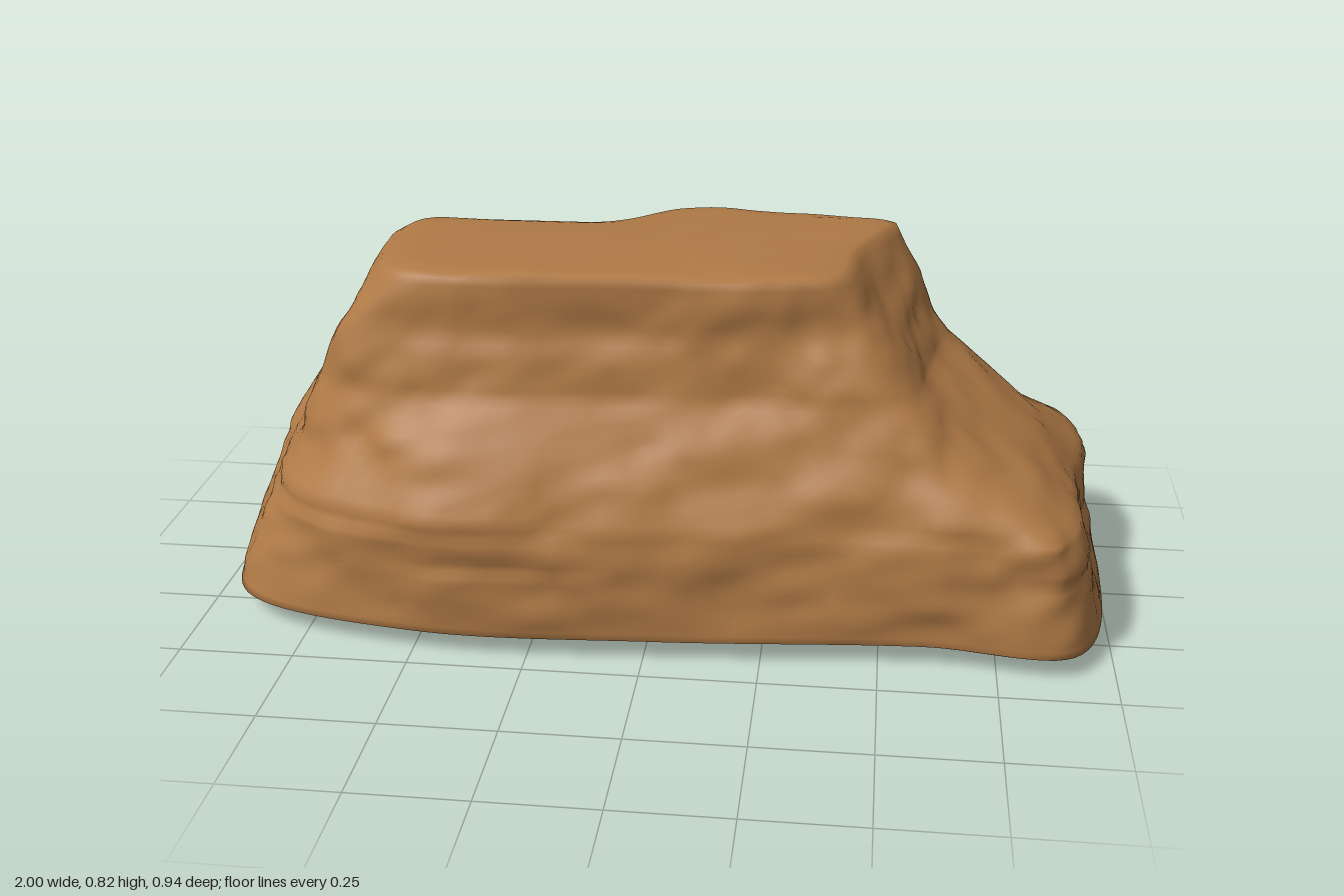
import * as THREE from 'three';

// Outlines of the rock at rising heights: 12 matching [x, z] points each,
// from the back-left corner along the left, front, right and back sides.
const LEVELS = [
  { y: 0.05, p: [-.985, -.17, -.975, .06, -.9, .32, -.5, .445, .03, .435, .6, .39, .91, .4, .995, .05, .94, -.29, .45, -.41, .13, -.465, -.4, -.39] },
  { y: 0.30, p: [-.89, -.19, -.89, .03, -.82, .28, -.5, .465, .03, .43, .6, .385, .87, .39, .925, .05, .905, -.365, .42, -.41, 0, -.46, -.25, -.45] },
  { y: 0.40, p: [-.83, -.18, -.82, .03, -.76, .26, -.47, .42, .03, .39, .48, .35, .71, .31, .82, .04, .78, -.28, .42, -.4, .02, -.45, -.23, -.43] },
  { y: 0.55, p: [-.74, -.16, -.75, .03, -.7, .25, -.45, .33, .03, .31, .36, .29, .52, .27, .6, 0, .62, -.25, .4, -.33, .1, -.36, -.28, -.31] },
  { y: 0.68, p: [-.66, -.13, -.67, .05, -.65, .255, -.4, .31, 0, .28, .3, .27, .46, .23, .52, -.02, .55, -.24, .3, -.28, .05, -.31, -.22, -.2] },
  { y: 0.80, p: [-.58, -.1, -.61, .05, -.55, .26, -.4, .3, -.05, .28, .25, .26, .38, .22, .43, -.02, .5, -.23, .25, -.25, .03, -.29, -.15, -.14] },
];
const SEGMENTS = 140;
const ROWS = 48;

// Smooth seeded noise in -1..1
function hash(x, y, z) {
  const s = Math.sin(x * 127.1 + y * 311.7 + z * 74.7 + 5.3) * 43758.5453;
  return s - Math.floor(s);
}
function noise(x, y, z) {
  const i = [x, y, z].map(Math.floor);
  const [u, v, w] = [x, y, z].map((a, k) => THREE.MathUtils.smoothstep(a - i[k], 0, 1));
  let sum = 0;
  for (let a = 0; a < 2; a++) for (let b = 0; b < 2; b++) for (let c = 0; c < 2; c++) {
    sum += (a ? u : 1 - u) * (b ? v : 1 - v) * (c ? w : 1 - w) * hash(i[0] + a, i[1] + b, i[2] + c);
  }
  return sum * 2 - 1;
}

// Closed outline sampled evenly by curve parameter
function sampleOutline(p) {
  const points = [];
  for (let i = 0; i < p.length; i += 2) points.push(new THREE.Vector3(p[i], 0, p[i + 1]));
  const curve = new THREE.CatmullRomCurve3(points, true, 'centripetal');
  return Array.from({ length: SEGMENTS }, (_, i) => curve.getPoint(i / SEGMENTS));
}

function ringAt(y, outlines) {
  let k = 0;
  while (k < LEVELS.length - 2 && y > LEVELS[k + 1].y) k++;
  const t = (y - LEVELS[k].y) / (LEVELS[k + 1].y - LEVELS[k].y);
  return outlines[k].map((v, i) => v.clone().lerp(outlines[k + 1][i], t).setY(y));
}

// Push the walls in and out: broad bumps, small chips and two broken cracks
function weather(ring, y) {
  const fade = THREE.MathUtils.smoothstep(y, 0.05, 0.14) * (1 - 0.6 * THREE.MathUtils.smoothstep(y, 0.7, 0.8));
  return ring.map((v, i) => {
    const a = ring[(i + SEGMENTS - 1) % SEGMENTS];
    const b = ring[(i + 1) % SEGMENTS];
    const out = new THREE.Vector3(b.z - a.z, 0, a.x - b.x).normalize();
    // keep the direction pointing away from the middle
    if (out.x * v.x + out.z * v.z < 0) out.negate();
    let d = 0.012 * noise(v.x * 5, y * 7, v.z * 5) + 0.012 * noise(v.x * 11, y * 13, v.z * 11)
      + 0.005 * noise(v.x * 22, y * 22, v.z * 22);
    for (const level of [0.2, 0.3]) {
      const offset = (y - level - 0.015 * noise(v.x * 2, level * 30, v.z * 2)) / 0.014;
      d -= 0.014 * Math.exp(-offset * offset) * Math.max(0, 0.2 + noise(v.x * 3, level * 50, v.z * 3));
    }
    return v.clone().addScaledVector(out, d * fade);
  });
}

function rockGeometry() {
  const outlines = LEVELS.map(l => sampleOutline(l.p));
  const base = outlines[0];
  const crown = weather(ringAt(0.8, outlines), 0.8);
  const scaled = (ring, s, y, cx, cz) => ring.map(v =>
    new THREE.Vector3(cx + (v.x - cx) * s, y, cz + (v.z - cz) * s));

  // shallow bulging underside
  const rings = [[0.02, 0.002], [0.35, 0.01], [0.65, 0.019], [0.88, 0.034], [0.985, 0.047]]
    .map(([s, y]) => scaled(base, s, y, 0, 0));
  // walls
  for (let r = 0; r <= ROWS; r++) {
    const y = 0.05 + 0.75 * r / ROWS;
    rings.push(weather(ringAt(y, outlines), y));
  }
  // nearly flat summit
  for (const [s, y] of [[0.965, 0.81], [0.85, 0.814], [0.6, 0.817], [0.3, 0.818], [0.02, 0.818]]) {
    rings.push(scaled(crown, s, y, -0.05, 0.04).map(v =>
      v.setY(y + 0.006 * s * noise(v.x * 7, 3, v.z * 7))));
  }

  const positions = rings.flatMap(ring => ring.flatMap(v => [v.x, v.y, v.z]));
  const index = [];
  for (let r = 0; r < rings.length - 1; r++) {
    for (let i = 0; i < SEGMENTS; i++) {
      const j = (i + 1) % SEGMENTS;
      const a = r * SEGMENTS + i, b = r * SEGMENTS + j;
      index.push(a, b, b + SEGMENTS, a, b + SEGMENTS, a + SEGMENTS);
    }
  }
  // close the middle of the underside and the summit
  const last = (rings.length - 1) * SEGMENTS;
  for (let i = 1; i < SEGMENTS - 1; i++) {
    index.push(0, i + 1, i, last, last + i, last + i + 1);
  }
  const geometry = new THREE.BufferGeometry();
  geometry.setAttribute('position', new THREE.Float32BufferAttribute(positions, 3));
  geometry.setIndex(index);
  geometry.computeVertexNormals();
  return geometry;
}

export function createModel() {
  const group = new THREE.Group();
  group.name = 'rockFormation';
  const rock = new THREE.Mesh(rockGeometry(), new THREE.MeshStandardMaterial({ color: 0xb07a46 }));
  rock.name = 'rock';
  group.add(rock);
  return group;
}
